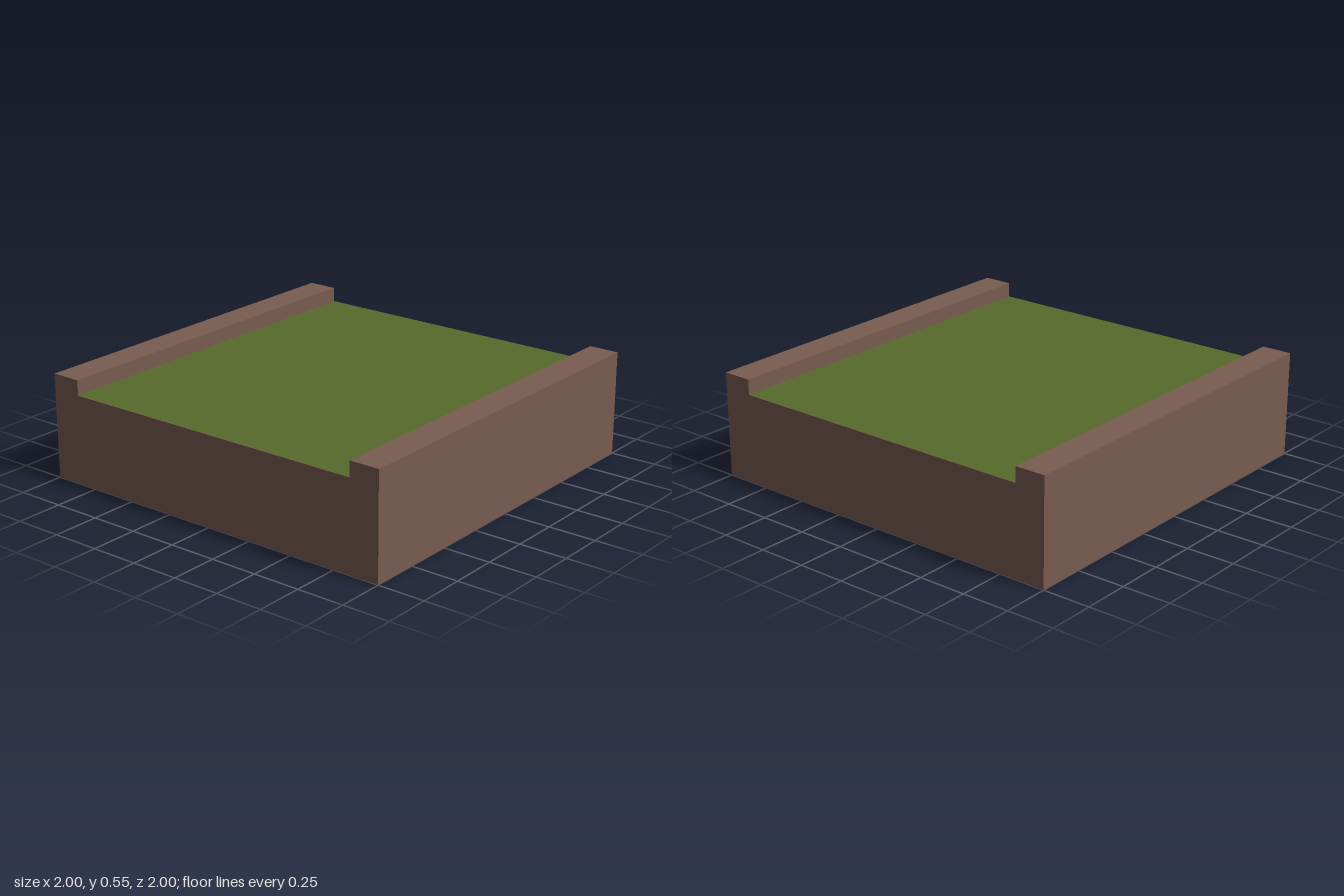
import * as THREE from 'three';

const LENGTH = 2, HEIGHT = 0.55, FLOOR = 0.47, INNER = 0.84;

export function createModel() {
  const group = new THREE.Group();
  group.name = 'terrainTile';

  const earth = new THREE.MeshStandardMaterial({ color: 0x795c51 });
  earth.name = 'earthBrown';
  const grass = new THREE.MeshStandardMaterial({ color: 0x586a2c });
  grass.name = 'grassGreen';

  // Earth block with a raised rim along the front and back, extruded along x
  const profile = new THREE.Shape([
    [-1, 0], [1, 0], [1, HEIGHT], [INNER, HEIGHT],
    [INNER, FLOOR], [-INNER, FLOOR], [-INNER, HEIGHT], [-1, HEIGHT],
  ].map(([x, y]) => new THREE.Vector2(x, y)));
  const blockGeometry = new THREE.ExtrudeGeometry(profile, { depth: LENGTH, bevelEnabled: false });
  blockGeometry.translate(0, 0, -LENGTH / 2).rotateY(Math.PI / 2);
  const block = new THREE.Mesh(blockGeometry, earth);
  block.name = 'earthBlock';
  group.add(block);

  // Grass surface lying just above the channel floor
  const grassGeometry = new THREE.PlaneGeometry(LENGTH, INNER * 2).rotateX(-Math.PI / 2);
  const surface = new THREE.Mesh(grassGeometry, grass);
  surface.name = 'grassSurface';
  surface.position.y = FLOOR + 0.002;
  group.add(surface);

  return group;
}
